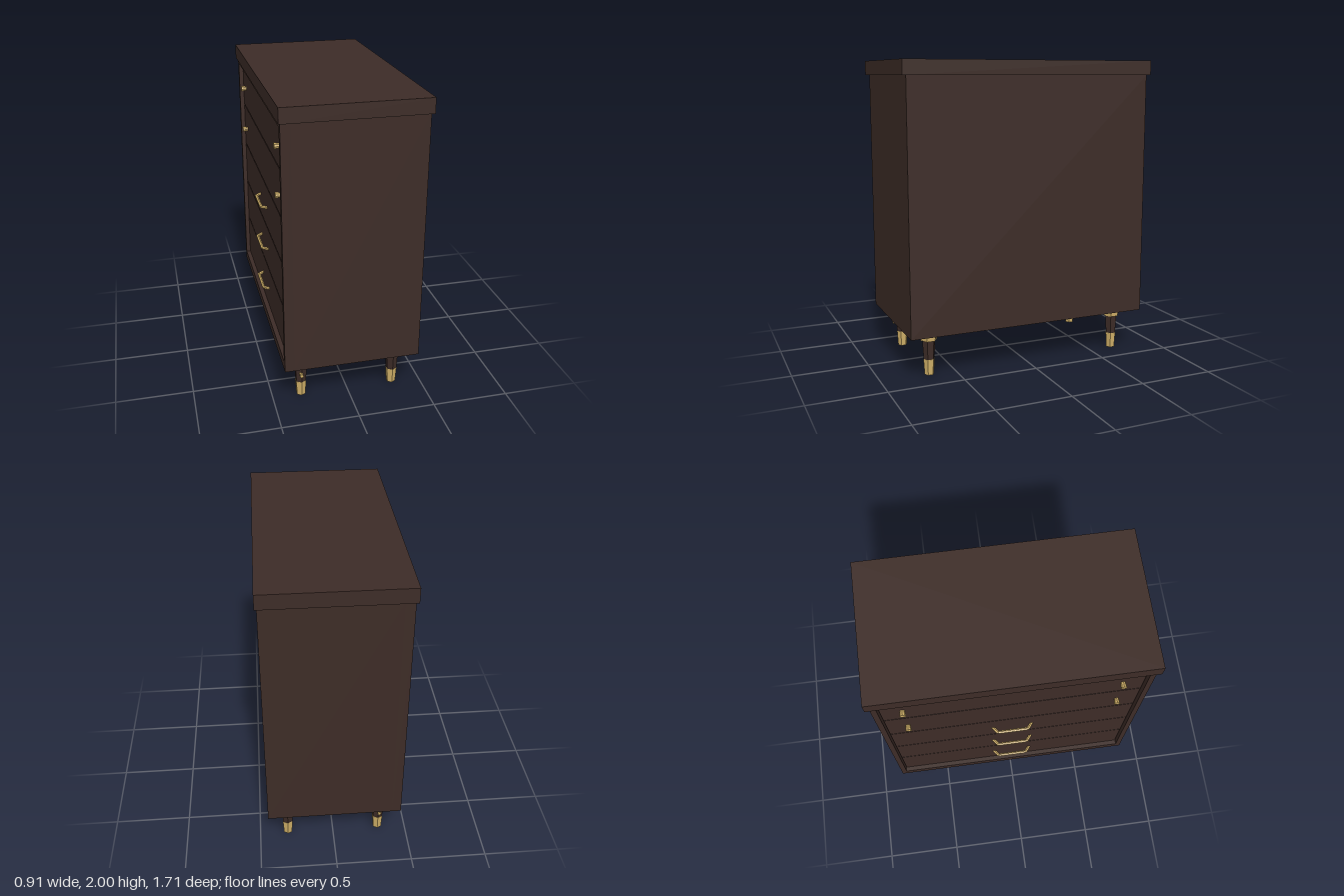
import * as THREE from 'three';

const wood = new THREE.MeshStandardMaterial({ color: 0x3d2c27, flatShading: true });
const brass = new THREE.MeshStandardMaterial({ color: 0xd0b068, flatShading: true });

function add(parent, name, geometry, material, x = 0, y = 0, z = 0) {
  const mesh = new THREE.Mesh(geometry, material);
  mesh.name = name;
  mesh.position.set(x, y, z);
  parent.add(mesh);
  return mesh;
}

function rectangle(path, z, y0, y1) {
  path.moveTo(-z, y0);
  path.lineTo(z, y0);
  path.lineTo(z, y1);
  path.lineTo(-z, y1);
  path.closePath();
  return path;
}

// Hexagonal tapered leg: brass collar, wooden shaft, brass foot
function makeLeg(x, z) {
  const leg = new THREE.Group();
  leg.name = 'leg';
  const section = (name, top, bottom, y0, y1, material) =>
    add(leg, name, new THREE.CylinderGeometry(top, bottom, y1 - y0, 6), material, 0, (y0 + y1) / 2, 0);
  section('legCollar', 0.06, 0.054, 0.23, 0.287, brass);
  section('legShaft', 0.044, 0.036, 0.1, 0.235, wood);
  section('legFoot', 0.038, 0.031, 0, 0.105, brass);
  leg.position.set(x, 0, z);
  return leg;
}

// Bar pull with slanted ends, swept by square rings along a bent path
function makeHandleGeometry() {
  const path = new THREE.CurvePath();
  const points = [[0.005, -0.132], [-0.036, -0.1], [-0.036, 0.1], [0.005, 0.132]]
    .map(([x, z]) => new THREE.Vector3(x, 0, z));
  for (let i = 0; i < 3; i++) path.add(new THREE.LineCurve3(points[i], points[i + 1]));
  return new THREE.TubeGeometry(path, 24, 0.011, 6, false);
}

export function createModel() {
  const model = new THREE.Group();
  model.name = 'chestOfDrawers';

  // Top slab and cabinet
  add(model, 'top', new THREE.BoxGeometry(0.905, 0.095, 1.71), wood, 0, 1.9525, 0);
  add(model, 'cabinet', new THREE.BoxGeometry(0.82, 1.62, 1.66), wood, 0.03, 1.095, 0);

  // Frame around the recessed drawers, on the -x side
  const outline = rectangle(new THREE.Shape(), 0.83, 0.285, 1.905);
  outline.holes.push(rectangle(new THREE.Path(), 0.795, 0.347, 1.873));
  const frame = add(model, 'drawerFrame',
    new THREE.ExtrudeGeometry(outline, { depth: 0.06, bevelEnabled: false }), wood, -0.38, 0, 0);
  frame.rotation.y = -Math.PI / 2;

  // Five drawers: bar pulls on the lower three, pairs of knobs on the upper two
  const drawerGeometry = new THREE.BoxGeometry(0.04, 0.298, 1.583);
  const knobGeometry = new THREE.CylinderGeometry(0.02, 0.014, 0.042, 8).rotateZ(Math.PI / 2);
  const handleGeometry = makeHandleGeometry();
  for (let row = 0; row < 5; row++) {
    const y = 0.5 + row * 0.305;
    add(model, 'drawer', drawerGeometry, wood, -0.391, y, 0);
    if (row < 3) {
      add(model, 'handle', handleGeometry, brass, -0.411, y, 0);
    } else {
      for (const z of [-0.66, 0.66]) add(model, 'knob', knobGeometry, brass, -0.426, y, z);
    }
  }

  // Legs and the rail joining the drawer-side pair
  for (const x of [-0.31, 0.31]) {
    for (const z of [-0.675, 0.675]) model.add(makeLeg(x, z));
  }
  const rail = add(model, 'rail', new THREE.CylinderGeometry(0.012, 0.012, 1.48, 8), brass, -0.314, 0.172, 0);
  rail.rotation.x = Math.PI / 2;

  return model;
}
